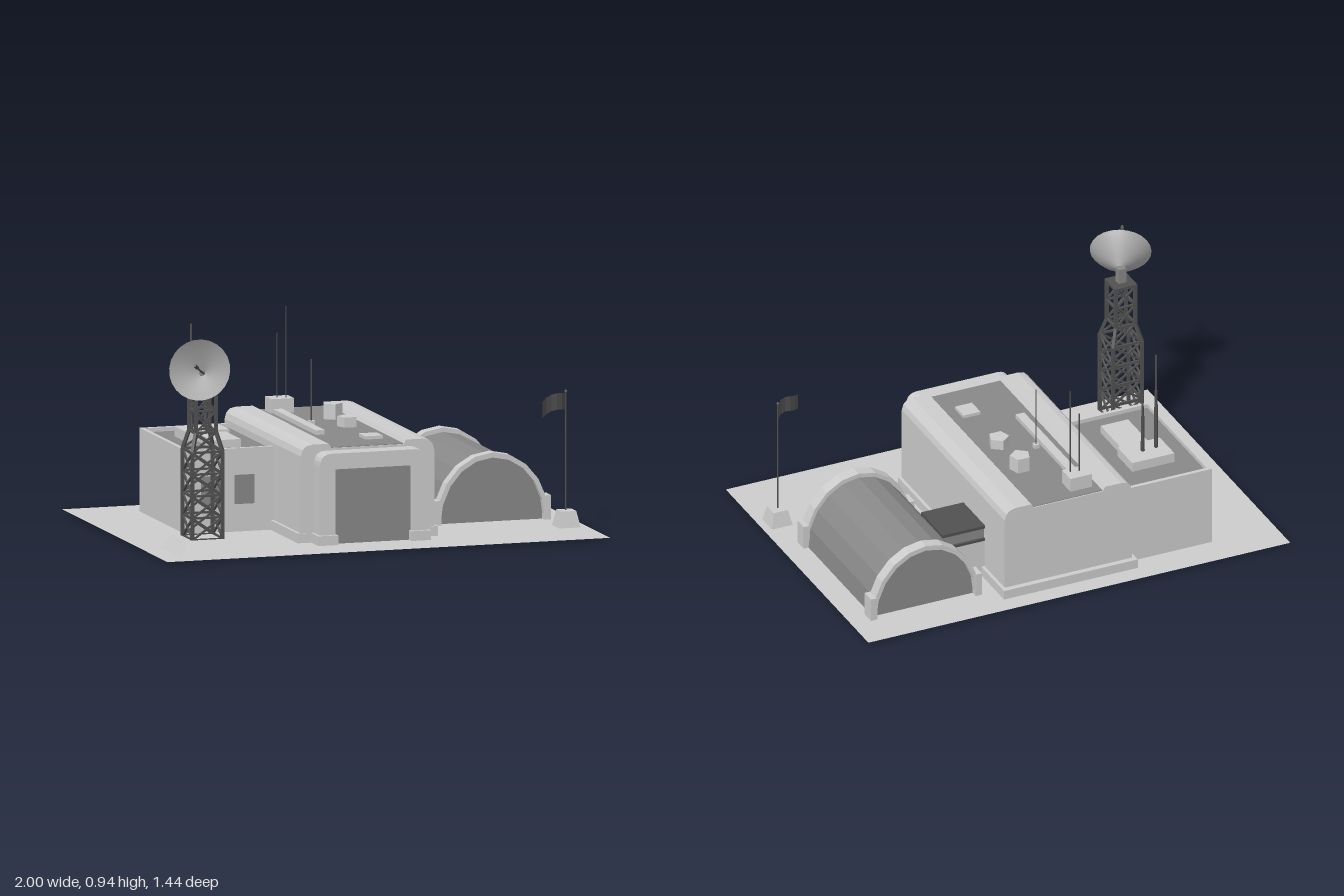
import * as THREE from 'three';

const mat = (color, extra = {}) => new THREE.MeshStandardMaterial({ color, flatShading: true, ...extra });
const LIGHT = mat(0xcccccc);
const DARK = mat(0x888888);
const BLACK = mat(0x505050);
const GROUND = 0.01;

export function createModel() {
  const model = new THREE.Group();

  const add = (name, geometry, material = LIGHT, parent = model) => {
    const mesh = new THREE.Mesh(geometry, material);
    mesh.name = name;
    parent.add(mesh);
    return mesh;
  };
  const group = (name) => {
    const g = new THREE.Group();
    g.name = name;
    model.add(g);
    return g;
  };
  // Box given by its limits on each axis
  const box = (name, [x0, x1], [y0, y1], [z0, z1], material, parent) => {
    const m = add(name, new THREE.BoxGeometry(x1 - x0, y1 - y0, z1 - z0), material, parent);
    m.position.set((x0 + x1) / 2, (y0 + y1) / 2, (z0 + z1) / 2);
    return m;
  };
  // Upright cylinder, cone or frustum standing on y0
  const post = (name, x, z, y0, y1, rTop, rBottom, sides, material, parent) => {
    const m = add(name, new THREE.CylinderGeometry(rTop, rBottom, y1 - y0, sides), material, parent);
    m.position.set(x, (y0 + y1) / 2, z);
    return m;
  };
  const frustum = (name, x, z, y0, y1, halfTop, halfBottom, parent) => {
    post(name, x, z, y0, y1, halfTop * Math.SQRT2, halfBottom * Math.SQRT2, 4, LIGHT, parent).rotation.y = Math.PI / 4;
  };
  // Square bar between two points
  const bar = (name, a, b, t, material, parent) => {
    const m = add(name, new THREE.BoxGeometry(t, t, a.distanceTo(b)), material, parent);
    m.position.copy(a).add(b).multiplyScalar(0.5);
    m.lookAt(b);
  };
  const extrude = (name, shape, z0, z1, material, parent) => {
    const g = new THREE.ExtrudeGeometry(shape, { depth: z1 - z0, bevelEnabled: false, curveSegments: 5 });
    return add(name, g.translate(0, 0, z0), material, parent);
  };
  const polygon = (points) => new THREE.Shape(points.map(([x, y]) => new THREE.Vector2(x, y)));

  // Ground sheet
  const ground = add('ground', new THREE.PlaneGeometry(2, 1.44), mat(0xcccccc, { side: THREE.DoubleSide }));
  ground.rotation.x = -Math.PI / 2;
  ground.position.y = GROUND;

  // Main hall: rounded shoulders with a sunken roof strip
  const hall = group('mainHall');
  const side = [[0.302, GROUND], [0.302, 0.385], [0.294, 0.412], [0.277, 0.429], [0.25, 0.435], [0.175, 0.435], [0.163, 0.416]];
  extrude('hallBody', polygon([...side, ...side.map(([x, y]) => [-x, y]).reverse()]), -0.61, 0.43, LIGHT, hall);
  box('hallRoof', [-0.163, 0.163], [0.41, 0.419], [-0.605, 0.425], DARK, hall);
  box('plinth', [-0.317, 0.317], [GROUND, 0.052], [-0.635, 0.435], LIGHT, hall);

  // Entrance: rounded frame, feet and door
  const entrance = group('entrance');
  const frame = new THREE.Shape();
  frame.moveTo(0.242, GROUND);
  frame.lineTo(0.242, 0.35);
  frame.quadraticCurveTo(0.242, 0.406, 0.19, 0.406);
  frame.lineTo(-0.19, 0.406);
  frame.quadraticCurveTo(-0.242, 0.406, -0.242, 0.35);
  for (const [x, y] of [[-0.242, GROUND], [-0.172, GROUND], [-0.172, 0.337], [0.172, 0.337], [0.172, GROUND]]) frame.lineTo(x, y);
  extrude('doorFrame', frame, 0.425, 0.515, LIGHT, entrance);
  box('door', [-0.172, 0.172], [GROUND, 0.337], [0.43, 0.495], DARK, entrance);
  for (const s of [-1, 1]) {
    box('frameFoot', [s * 0.21 - 0.045, s * 0.21 + 0.045], [GROUND, 0.052], [0.43, 0.53], LIGHT, entrance);
  }

  // Fittings on the hall roof
  const roofGear = group('hallRoofFittings');
  box('equipmentBox', [-0.135, -0.033], [0.415, 0.482], [-0.56, -0.475], LIGHT, roofGear);
  box('duct', [-0.126, -0.086], [0.415, 0.439], [-0.475, 0.105], LIGHT, roofGear);
  box('hatch', [0.037, 0.117], [0.415, 0.433], [0.2, 0.285], LIGHT, roofGear);
  post('vent', 0.077, -0.287, 0.415, 0.486, 0.046, 0.046, 5, LIGHT, roofGear);
  post('vent', 0.077, -0.07, 0.415, 0.463, 0.046, 0.046, 5, LIGHT, roofGear).rotation.y = Math.PI / 5;
  box('aerialFoot', [-0.072, -0.048], [0.415, 0.437], [-0.167, -0.143], LIGHT, roofGear);
  for (const [x, z, y0, y1] of [[-0.098, -0.51, 0.48, 0.765], [-0.06, -0.502, 0.48, 0.88], [-0.06, -0.155, 0.43, 0.705]]) {
    post('aerial', x, z, y0, y1, 0.003, 0.003, 6, BLACK, roofGear);
  }

  // Side block with parapet roof and two windows
  const wing = group('sideBlock');
  box('wingBody', [-0.7, -0.3], [GROUND, 0.352], [-0.57, 0.063], LIGHT, wing);
  box('wingRoof', [-0.685, -0.3], [0.35, 0.355], [-0.555, 0.048], DARK, wing);
  box('parapetSide', [-0.7, -0.682], [0.35, 0.373], [-0.57, 0.063], LIGHT, wing);
  box('parapetBack', [-0.682, -0.3], [0.35, 0.373], [-0.57, -0.552], LIGHT, wing);
  box('parapetFront', [-0.682, -0.3], [0.35, 0.373], [0.045, 0.063], LIGHT, wing);
  for (const x of [-0.588, -0.435]) box('window', [x - 0.044, x + 0.044], [0.13, 0.257], [0.05, 0.066], DARK, wing);
  box('roofUnit', [-0.592, -0.392], [0.35, 0.398], [-0.42, -0.272], LIGHT, wing);
  box('roofUnitArm', [-0.54, -0.41], [0.35, 0.39], [-0.272, 0.063 - 0.125], LIGHT, wing);
  for (const [x, z, mid, top] of [[-0.543, -0.338, 0.68, 0.855], [-0.478, -0.342, 0.57, 0.673]]) {
    post('mastLower', x, z, 0.39, mid, 0.007, 0.009, 6, BLACK, wing);
    post('mastUpper', x, z, mid, top, 0.004, 0.005, 6, BLACK, wing);
  }

  // Passage between hall and hangar
  const passage = group('passage');
  box('passageBody', [0.3, 0.5], [GROUND, 0.18], [-0.405, -0.2], LIGHT, passage);
  box('passageSill', [0.3, 0.5], [0.18, 0.192], [-0.41, -0.195], BLACK, passage);
  box('passageGlazing', [0.3, 0.5], [0.192, 0.242], [-0.4, -0.205], DARK, passage);
  box('passageRoof', [0.3, 0.503], [0.242, 0.256], [-0.412, -0.193], BLACK, passage);

  // Hangar: faceted vault with a rim at each end
  const hangar = group('hangar');
  const arc = (rx, ry, n = 10) => Array.from({ length: n + 1 }, (_, i) => {
    const a = (i / n) * Math.PI;
    return [0.648 + rx * Math.cos(a), GROUND + ry * Math.sin(a)];
  });
  extrude('vault', polygon(arc(0.24, 0.285)), -0.525, 0.155, DARK, hangar);
  for (const z of [-0.525, 0.155]) {
    extrude('vaultRim', polygon([...arc(0.256, 0.304), ...arc(0.236, 0.282).reverse()]), z - 0.027, z + 0.027, LIGHT, hangar);
    for (const s of [-1, 1]) {
      const x = 0.648 + s * 0.248;
      box('rimFoot', [x - 0.015, x + 0.015], [0, 0.116], [z - 0.032, z + 0.032], LIGHT, hangar);
    }
  }

  // Lattice tower
  const tower = group('latticeTower');
  const TX = -0.765, TZ = 0.489;
  frustum('towerBase', TX, TZ, GROUND, 0.07, 0.102, 0.143, tower);
  const levels = [[0.07, 0.068], [0.165, 0.068], [0.26, 0.068], [0.355, 0.068], [0.45, 0.068], [0.532, 0.046], [0.626, 0.046], [0.718, 0.046]];
  const corner = ([y, h], i) => {
    const a = Math.PI / 4 + (i * Math.PI) / 2;
    return new THREE.Vector3(TX + h * Math.SQRT2 * Math.cos(a), y, TZ + h * Math.SQRT2 * Math.sin(a));
  };
  levels.forEach((level, k) => {
    for (let i = 0; i < 4; i++) {
      bar('crossBar', corner(level, i), corner(level, i + 1), 0.009, BLACK, tower);
      if (k === 0) continue;
      const below = levels[k - 1];
      bar('leg', corner(below, i), corner(level, i), 0.014, BLACK, tower);
      if (k > 4 && i % 2) continue; // upper stages are braced on front and back only
      bar('brace', corner(below, i), corner(level, i + 1), 0.008, BLACK, tower);
      bar('brace', corner(below, i + 1), corner(level, i), 0.008, BLACK, tower);
    }
  });
  box('towerTop', [TX - 0.053, TX + 0.053], [0.716, 0.728], [TZ - 0.053, TZ + 0.053], BLACK, tower);
  box('dishMount', [TX - 0.018, TX + 0.018], [0.725, 0.796], [TZ - 0.016, TZ + 0.018], DARK, tower);

  // Dish, modelled along +y and then aimed
  const dish = group('dish');
  const profile = [[0.006, 0], [0.05, 0.03], [0.1, 0.07], [0.133, 0.106]].map(([r, y]) => new THREE.Vector2(r, y));
  add('dishBowl', new THREE.LatheGeometry(profile, 24), mat(0xaaaaaa, { side: THREE.DoubleSide, flatShading: false }), dish);
  post('feedArm', 0, 0, 0, 0.2, 0.004, 0.004, 6, BLACK, dish);
  post('feedHorn', 0, 0, 0.165, 0.244, 0.008, 0.008, 6, BLACK, dish);
  dish.position.set(TX, 0.783, 0.504);
  dish.quaternion.setFromUnitVectors(new THREE.Vector3(0, 1, 0), new THREE.Vector3(-0.45, 0.31, 0.84).normalize());

  // Flag on its pole
  const flag = group('flag');
  frustum('flagBase', 0.917, 0.375, GROUND, 0.08, 0.034, 0.049, flag);
  post('flagPole', 0.915, 0.375, 0.07, 0.598, 0.003, 0.003, 6, BLACK, flag);
  const ball = add('poleBall', new THREE.SphereGeometry(0.007, 8, 6), BLACK, flag);
  ball.position.set(0.915, 0.598, 0.375);
  const cloth = new THREE.PlaneGeometry(1, 1, 5, 1);
  const p = cloth.attributes.position;
  for (let i = 0; i < p.count; i++) {
    const t = p.getX(i) + 0.5; // 0 at the pole, 1 at the free end
    const wave = 0.012 * Math.sin(t * Math.PI * 2);
    p.setXYZ(i, 0.915 - 0.132 * t, 0.555 + p.getY(i) * 0.072 + 0.01 * Math.sin(t * Math.PI) - 0.02 * t * t, 0.375 + 0.08 * t + wave);
  }
  cloth.computeVertexNormals();
  add('flagCloth', cloth, mat(0x505050, { side: THREE.DoubleSide }), flag);

  return model;
}
